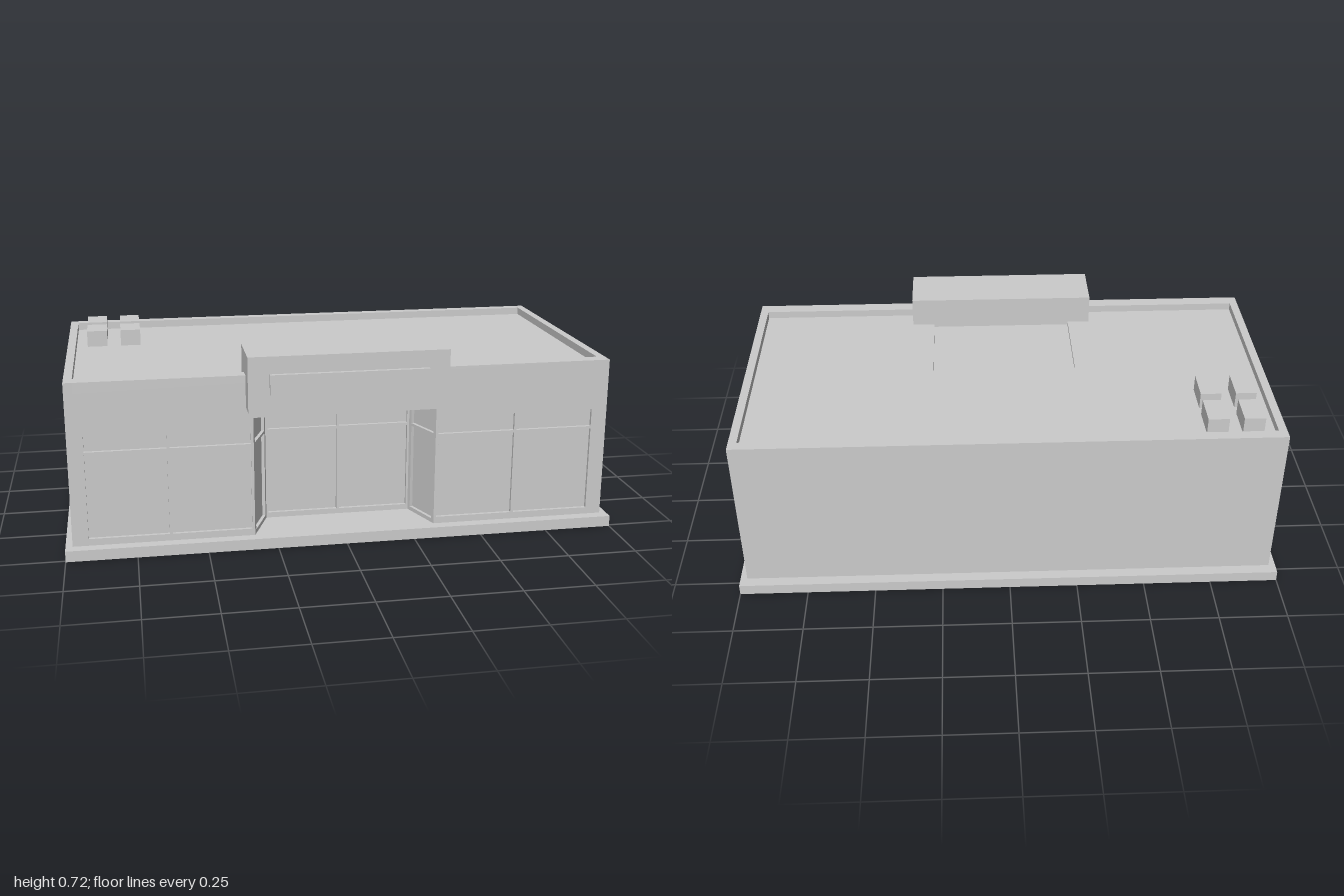
import * as THREE from 'three';

const material = new THREE.MeshStandardMaterial({ color: 0xcccccc, flatShading: true });

function rectPath(Type, x0, y0, x1, y1) {
  const p = new Type();
  p.moveTo(x0, y0);
  p.lineTo(x1, y0);
  p.lineTo(x1, y1);
  p.lineTo(x0, y1);
  p.closePath();
  return p;
}

export function createModel() {
  const model = new THREE.Group();
  model.name = 'storeBuilding';

  const add = (name, geometry) => {
    const mesh = new THREE.Mesh(geometry, material);
    mesh.name = name;
    model.add(mesh);
    return mesh;
  };

  // Box given by its two extreme corners
  const box = (name, x0, x1, y0, y1, z0, z1) => add(name,
    new THREE.BoxGeometry(x1 - x0, y1 - y0, z1 - z0)
      .translate((x0 + x1) / 2, (y0 + y1) / 2, (z0 + z1) / 2));

  // Floor-plan shape (x, z) raised from y0 to y1
  const plan = (name, shape, y0, y1) => add(name,
    new THREE.ExtrudeGeometry(shape, { depth: y1 - y0, bevelEnabled: false })
      .rotateX(-Math.PI / 2).translate(0, y0, 0));

  // Wall panel from a to b (x, z), outer face on that line; holes are [u0, y0, u1, y1]
  const wall = (name, a, b, y0, y1, thickness, holes) => {
    const dx = b[0] - a[0], dz = b[1] - a[1];
    const shape = rectPath(THREE.Shape, 0, y0, Math.hypot(dx, dz), y1);
    for (const h of holes) shape.holes.push(rectPath(THREE.Path, ...h));
    const mesh = add(name, new THREE.ExtrudeGeometry(shape, { depth: thickness, bevelEnabled: false })
      .translate(0, 0, -thickness));
    mesh.position.set(a[0], 0, a[1]);
    mesh.rotation.y = Math.atan2(-dz, dx);
  };

  // Window panes: columns split by mullions, rows split by a transom bar
  const panes = (u0, u1, columns, y0 = 0.065, y1 = 0.45) => {
    const bar = 0.01, w = (u1 - u0 - bar * (columns - 1)) / columns;
    const holes = [];
    for (let i = 0; i < columns; i++) {
      const u = u0 + i * (w + bar);
      holes.push([u, y0, u + w, 0.375], [u, 0.385, u + w, y1]);
    }
    return holes;
  };

  // Ground slab
  box('baseSlab', -1, 1, 0, 0.04, -0.56, 0.51);

  // Solid core with the tapered entrance notch
  const core = new THREE.Shape([
    [-0.945, -0.458], [-0.338, -0.458], [-0.278, -0.298], [0.278, -0.298],
    [0.338, -0.458], [0.945, -0.458], [0.945, 0.52], [-0.945, 0.52],
  ].map(([x, y]) => new THREE.Vector2(x, y)));
  plan('buildingCore', core, 0.04, 0.48);
  box('upperStorey', -0.945, 0.945, 0.48, 0.595, -0.52, 0.47);

  // Shop fronts and entrance
  const t = 0.012;
  wall('rightShopFront', [-0.945, 0.47], [-0.33, 0.47], 0.04, 0.48, t, panes(0.027, 0.605, 2));
  wall('leftShopFront', [0.33, 0.47], [0.945, 0.47], 0.04, 0.48, t, panes(0.01, 0.588, 2));
  wall('entranceDoors', [-0.27, 0.31], [0.27, 0.31], 0.04, 0.48, t, panes(0.008, 0.532, 2, 0.06, 0.455));
  wall('rightEntranceWall', [-0.33, 0.47], [-0.27, 0.31], 0.04, 0.48, t, panes(0.015, 0.156, 1, 0.055, 0.46));
  wall('leftEntranceWall', [0.27, 0.31], [0.33, 0.47], 0.04, 0.48, t, panes(0.015, 0.156, 1, 0.055, 0.46));

  // Side walls with high strip windows, rising to the parapet
  const strips = [[-0.46, -0.08], [0.035, 0.41]];
  wall('leftSideWall', [0.975, 0.47], [0.975, -0.52], 0.04, 0.635, 0.03,
    strips.map(([z0, z1]) => [0.47 - z1, 0.515, 0.47 - z0, 0.6]));
  wall('rightSideWall', [-0.975, -0.52], [-0.975, 0.47], 0.04, 0.635, 0.03,
    strips.map(([z0, z1]) => [z0 + 0.52, 0.515, z1 + 0.52, 0.6]));

  // Front and back parapets
  box('frontParapet', -0.945, 0.945, 0.595, 0.635, 0.42, 0.47);
  box('backParapet', -0.945, 0.945, 0.595, 0.635, -0.52, -0.48);

  // Roof deck with a shallow sunken panel
  const roof = rectPath(THREE.Shape, -0.945, -0.42, 0.945, 0.48);
  roof.holes.push(rectPath(THREE.Path, -0.27, -0.345, 0.27, 0));
  plan('roofDeck', roof, 0.595, 0.607);

  // Sign box over the entrance
  box('signBox', -0.355, 0.355, 0.52, 0.717, 0.345, 0.545);
  box('signPanel', -0.28, 0.28, 0.583, 0.655, 0.54, 0.56);

  // Rooftop air units
  for (const x of [-0.865, -0.737]) {
    for (const z of [-0.39, -0.23]) {
      box('airUnit', x - 0.038, x + 0.038, 0.6, 0.668, z - 0.06, z + 0.06);
    }
  }
  return model;
}
